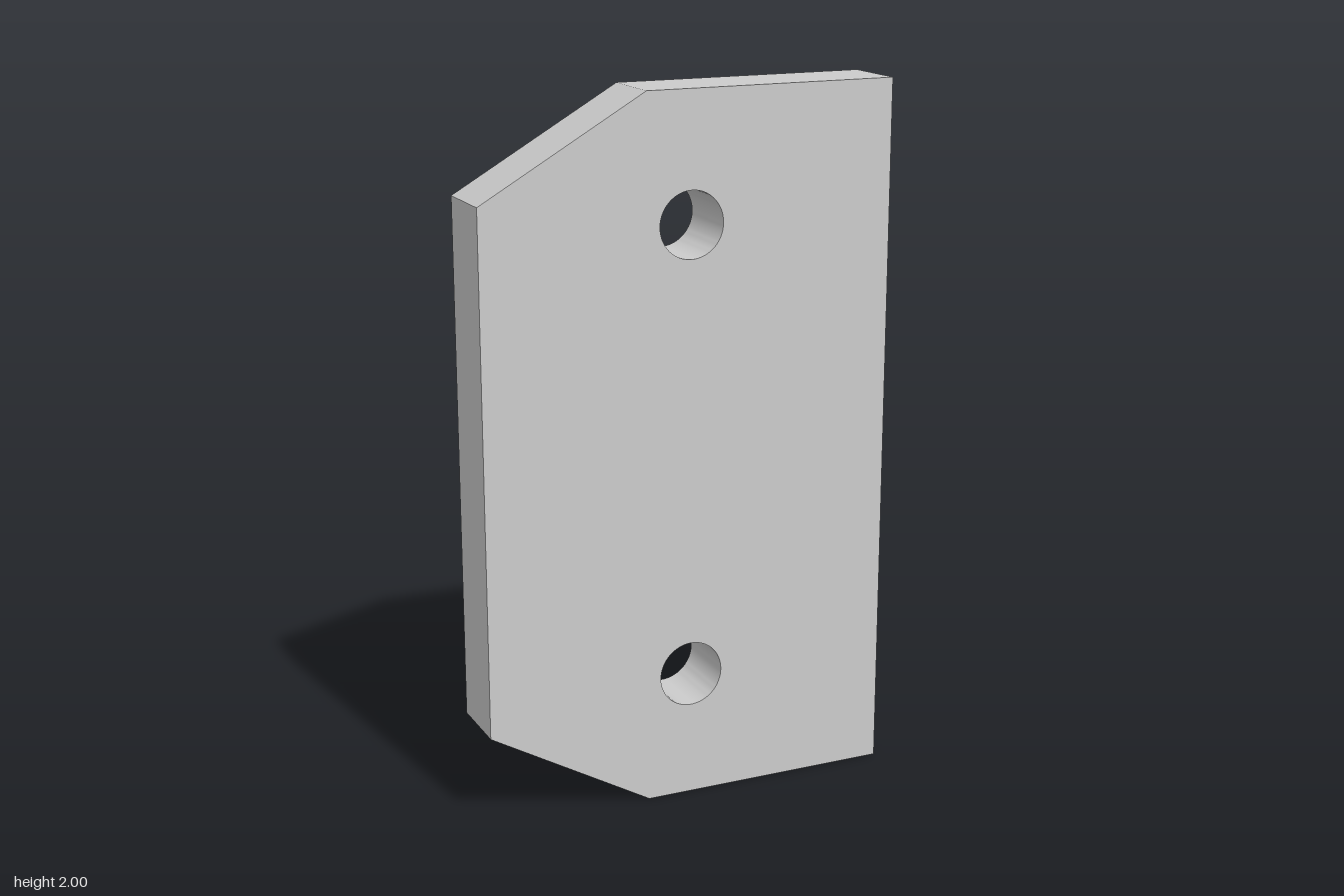
import * as THREE from 'three';
import { toCreasedNormals } from 'three/addons/utils/BufferGeometryUtils.js';

const HALF_WIDTH = 0.6, HEIGHT = 2, THICKNESS = 0.2;
const CHAMFER_X = -0.13, CHAMFER_DROP = 0.27;
const HOLE_RADIUS = 0.093, HOLE_INSET = 0.36;

export function createModel() {
  const group = new THREE.Group();
  group.name = 'mountingPlate';

  // Plate outline, with two corners cut off on the -x side
  const outline = new THREE.Shape([
    [CHAMFER_X, 0],
    [HALF_WIDTH, 0],
    [HALF_WIDTH, HEIGHT],
    [CHAMFER_X, HEIGHT],
    [-HALF_WIDTH, HEIGHT - CHAMFER_DROP],
    [-HALF_WIDTH, CHAMFER_DROP],
  ].map(([x, y]) => new THREE.Vector2(x, y)));

  // Bolt holes, straight through
  for (const y of [HOLE_INSET, HEIGHT - HOLE_INSET]) {
    const hole = new THREE.Path();
    hole.absarc(0, y, HOLE_RADIUS, 0, Math.PI * 2, true);
    outline.holes.push(hole);
  }

  const geometry = new THREE.ExtrudeGeometry(outline, {
    depth: THICKNESS, bevelEnabled: false, curveSegments: 32,
  });
  geometry.translate(0, 0, -THICKNESS / 2);

  // Smooth hole walls, sharp plate edges
  const plate = new THREE.Mesh(
    toCreasedNormals(geometry, 0.35),
    new THREE.MeshStandardMaterial({ color: 0xcccccc }),
  );
  plate.name = 'plate';
  group.add(plate);
  return group;
}
